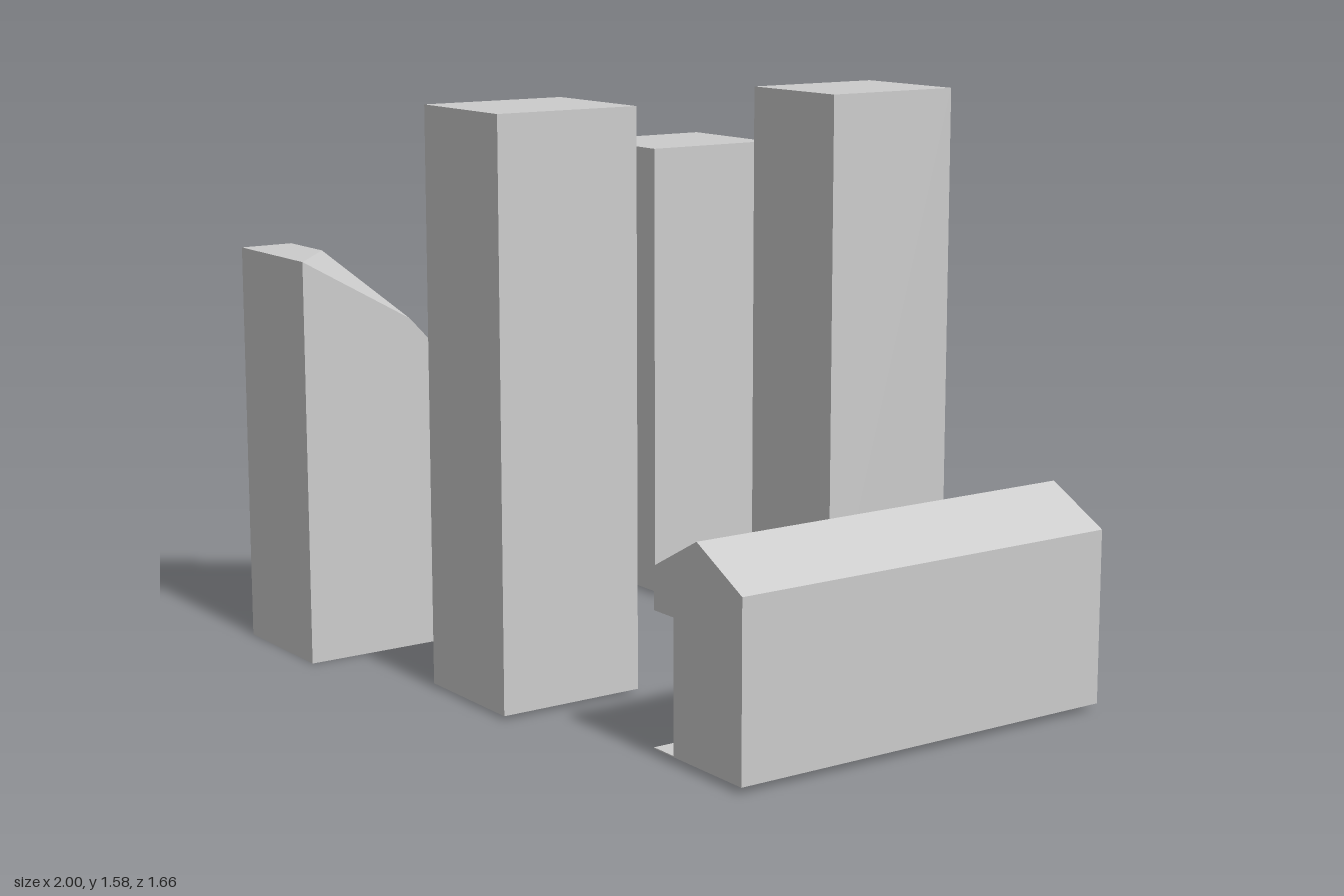
import * as THREE from 'three';
import { ConvexGeometry } from 'three/addons/geometries/ConvexGeometry.js';

const flat = new THREE.MeshStandardMaterial({ color: 0xcccccc, flatShading: true });
const smooth = new THREE.MeshStandardMaterial({ color: 0xcccccc });

function add(parent, name, geometry, x = 0, y = 0, z = 0, material = flat) {
  const mesh = new THREE.Mesh(geometry, material);
  mesh.name = name;
  mesh.position.set(x, y, z);
  parent.add(mesh);
  return mesh;
}

function boxBetween(parent, name, [x0, y0, z0], [x1, y1, z1]) {
  const geometry = new THREE.BoxGeometry(x1 - x0, y1 - y0, z1 - z0);
  return add(parent, name, geometry, (x0 + x1) / 2, (y0 + y1) / 2, (z0 + z1) / 2);
}

// Block with a sloping roof and one chamfered top corner
function slopedBuilding(parent) {
  const [x0, x1, z0, z1, top] = [-0.945, -0.58, 0.22, 0.83, 1.13];
  const points = [
    [x0, 0, z0], [x1, 0, z0], [x1, 0, z1], [x0, 0, z1],
    [x0, 0.65, z0], [x1, 0.65, z0],
    [x0, top, 0.675], [x0, top, z1],
    [-0.76, top, 0.675], [x1, top, z1], [x1, 0.945, 0.5],
  ].map((p) => new THREE.Vector3(...p));
  add(parent, 'slopedBuilding', new ConvexGeometry(points));
}

// Gabled hall with a colonnade under its inner side
function hall(parent) {
  const group = new THREE.Group();
  group.name = 'gabledHall';
  const [back, front] = [-0.655, 0.512];
  const profile = new THREE.Shape([
    [0.715, 0.018], [0.995, 0.018], [0.995, 0.488], [0.81, 0.585],
    [0.63, 0.488], [0.63, 0.375], [0.715, 0.375],
  ].map((p) => new THREE.Vector2(...p)));
  const body = new THREE.ExtrudeGeometry(profile, { depth: front - back, bevelEnabled: false });
  add(group, 'hallBody', body, 0, 0, back);
  boxBetween(group, 'porchFloor', [0.63, 0.018, back], [0.715, 0.021, front]);

  const count = 9;
  const column = new THREE.CylinderGeometry(0.024, 0.024, 0.355, 16);
  for (let i = 0; i < count; i++) {
    const z = back + 0.06 + (i * (front - back - 0.12)) / (count - 1);
    add(group, 'column', column, 0.676, 0.1975, z, smooth);
  }
  parent.add(group);
}

// Octagonal basin with a thin spout in the middle
function fountain(parent) {
  const group = new THREE.Group();
  group.name = 'fountain';
  group.position.set(0.368, 0, -0.077);
  const section = [[0, 0.012], [0.145, 0.012], [0.145, 0.038], [0.126, 0.038], [0.126, 0.022], [0, 0.022]];
  add(group, 'basin', new THREE.LatheGeometry(section.map((p) => new THREE.Vector2(...p)), 8));
  add(group, 'spout', new THREE.CylinderGeometry(0.007, 0.007, 0.065, 8), -0.01, 0.0525, 0);
  parent.add(group);
}

export function createModel() {
  const model = new THREE.Group();
  model.name = 'cityBlock';

  // Plain towers
  boxBetween(model, 'backRightTower', [-1, 0.01, -0.79], [-0.635, 1.365, -0.373]);
  boxBetween(model, 'backTower', [-0.193, 0.01, -0.83], [0.168, 1.575, -0.41]);
  boxBetween(model, 'frontTower', [-0.193, 0.01, 0.243], [0.168, 1.575, 0.665]);

  slopedBuilding(model);
  hall(model);
  fountain(model);
  return model;
}
